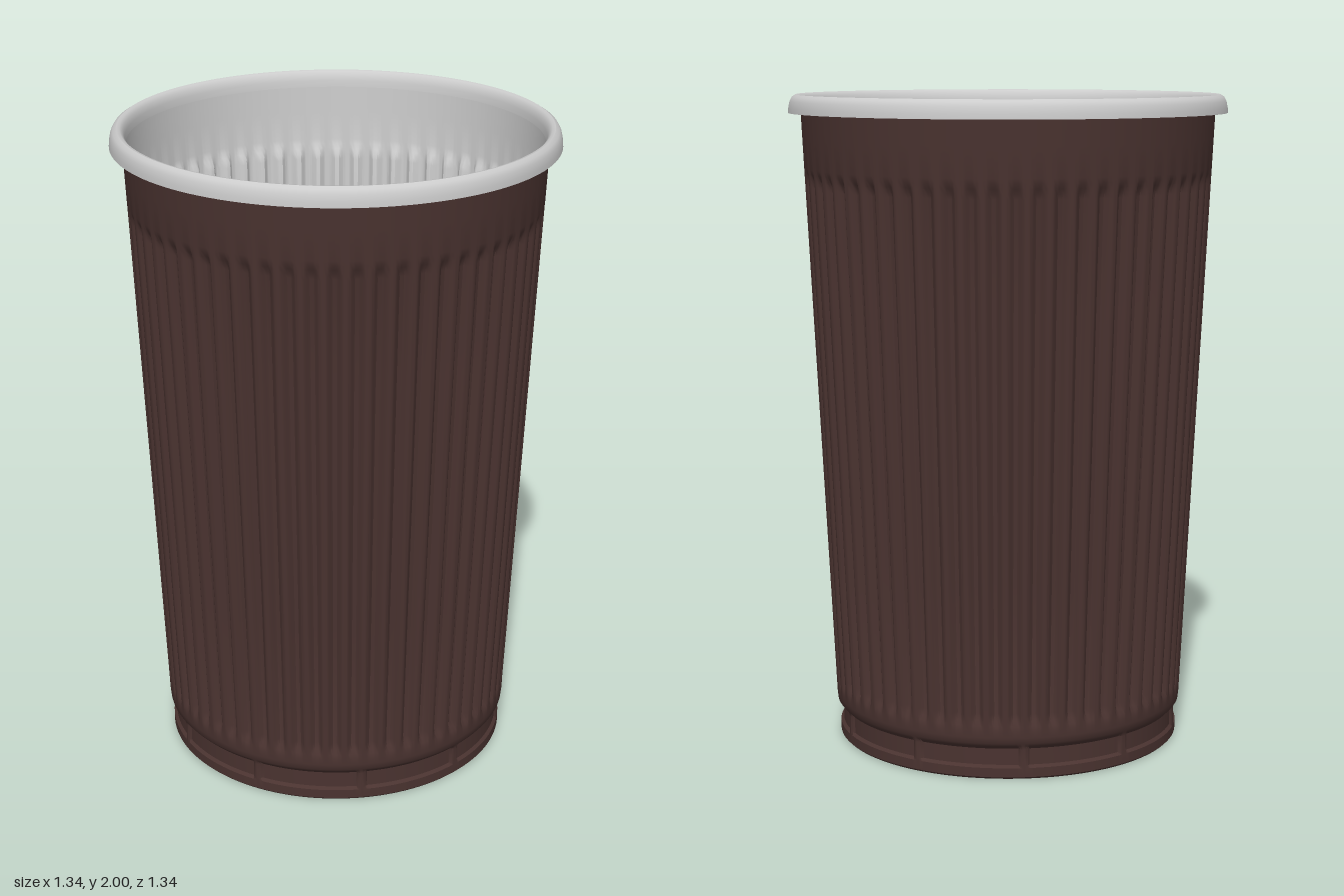
import * as THREE from 'three';
import { mergeVertices, toCreasedNormals } from 'three/addons/utils/BufferGeometryUtils.js';

const RIBS = 60, RIB_DEPTH = 0.02, RIB_BOTTOM = 0.15, RIB_TOP = 1.78;
const PANELS = 10, PANEL_DEPTH = 0.009;
const smooth = THREE.MathUtils.smoothstep;

// outer wall radius: a straight taper
const wallRadius = (y) => THREE.MathUtils.mapLinear(y, 0.15, 1.95, 0.544, 0.631);

// inward displacement of the wall by height and angle
function groove(y, angle) {
  const ends = smooth(y, RIB_BOTTOM, RIB_BOTTOM + 0.05) * (1 - smooth(y, RIB_TOP - 0.06, RIB_TOP));
  const wave = smooth(0.5 - 0.5 * Math.cos(angle * RIBS), 0.1, 0.95);
  return RIB_DEPTH * ends * wave;
}

// shallow panels around the foot, parted by narrow tabs
function footPanel(y, angle) {
  const t = (angle * PANELS) / (Math.PI * 2) + 0.5;
  const edge = Math.abs(t - Math.floor(t) - 0.5);
  const band = smooth(y, 0.034, 0.042) * (1 - smooth(y, 0.092, 0.102));
  return PANEL_DEPTH * band * (1 - smooth(edge, 0.455, 0.475));
}

// revolve a profile, press the relief into it, then rebuild clean normals
function revolve(points, segments, relief) {
  let g = new THREE.LatheGeometry(points.map(([r, y]) => new THREE.Vector2(r, y)), segments);
  const p = g.attributes.position;
  if (relief) {
    for (let i = 0; i < p.count; i++) {
      const x = p.getX(i), y = p.getY(i), z = p.getZ(i), r = Math.hypot(x, z);
      if (r < 0.5) continue;
      const k = (r - relief(y, Math.atan2(x, z))) / r;
      p.setXYZ(i, x * k, y, z * k);
    }
  }
  g.deleteAttribute('uv');
  g.deleteAttribute('normal');
  g = mergeVertices(g, 1e-5);
  return toCreasedNormals(g, 0.65);
}

// heights at which the ribbed wall is sampled
const wallRows = [0.15, 0.165, 0.18, 0.2, 0.6, 1.0, 1.4, 1.72, 1.735, 1.75, 1.765, 1.78, 1.87, 1.95];

// domed centre of the base, from the axis outwards
const dome = (lift) => [[0, 0.19], [0.32, 0.19], [0.345, 0.184], [0.39, 0.153], [0.43, 0.117], [0.452, 0.105]]
  .map(([r, y]) => [r, y + lift]);

export function createModel() {
  const cup = new THREE.Group();
  cup.name = 'cup';
  const brown = new THREE.MeshStandardMaterial({ color: 0x4a3330, side: THREE.DoubleSide });
  const grey = new THREE.MeshStandardMaterial({ color: 0xcccccc, side: THREE.DoubleSide });
  const add = (name, geometry, material) => {
    const mesh = new THREE.Mesh(geometry, material);
    mesh.name = name;
    cup.add(mesh);
  };

  // brown outside: recessed base, foot ring, panelled band, ribbed wall
  add('outerShell', revolve([
    ...dome(0), [0.472, 0.1], [0.486, 0.01], [0.495, 0], [0.526, 0], [0.532, 0.006], [0.532, 0.034],
    [0.532, 0.042], [0.532, 0.067], [0.532, 0.092], [0.533, 0.102], [0.541, 0.112], [0.543, 0.13],
    ...wallRows.map((y) => [wallRadius(y), y]),
  ], RIBS * 10, (y, a) => groove(y, a) + footPanel(y, a)), brown);

  // grey inside: ribbed wall running down to the domed floor
  add('innerLining', revolve([
    ...wallRows.map((y) => [wallRadius(y) - 0.011, y]).reverse(),
    [0.522, 0.13], [0.514, 0.117], ...dome(0.012).reverse(),
  ], RIBS * 10, groove), grey);

  // rolled lip with a hollow underside
  add('rim', revolve([
    [0.631, 1.95], [0.633, 1.975], [0.645, 1.985], [0.656, 1.975], [0.661, 1.945], [0.669, 1.945],
    [0.668, 1.96], [0.664, 1.98], [0.657, 1.993], [0.646, 2], [0.636, 1.998], [0.627, 1.988],
    [0.622, 1.97], [0.62, 1.95],
  ], 128), grey);

  return cup;
}
